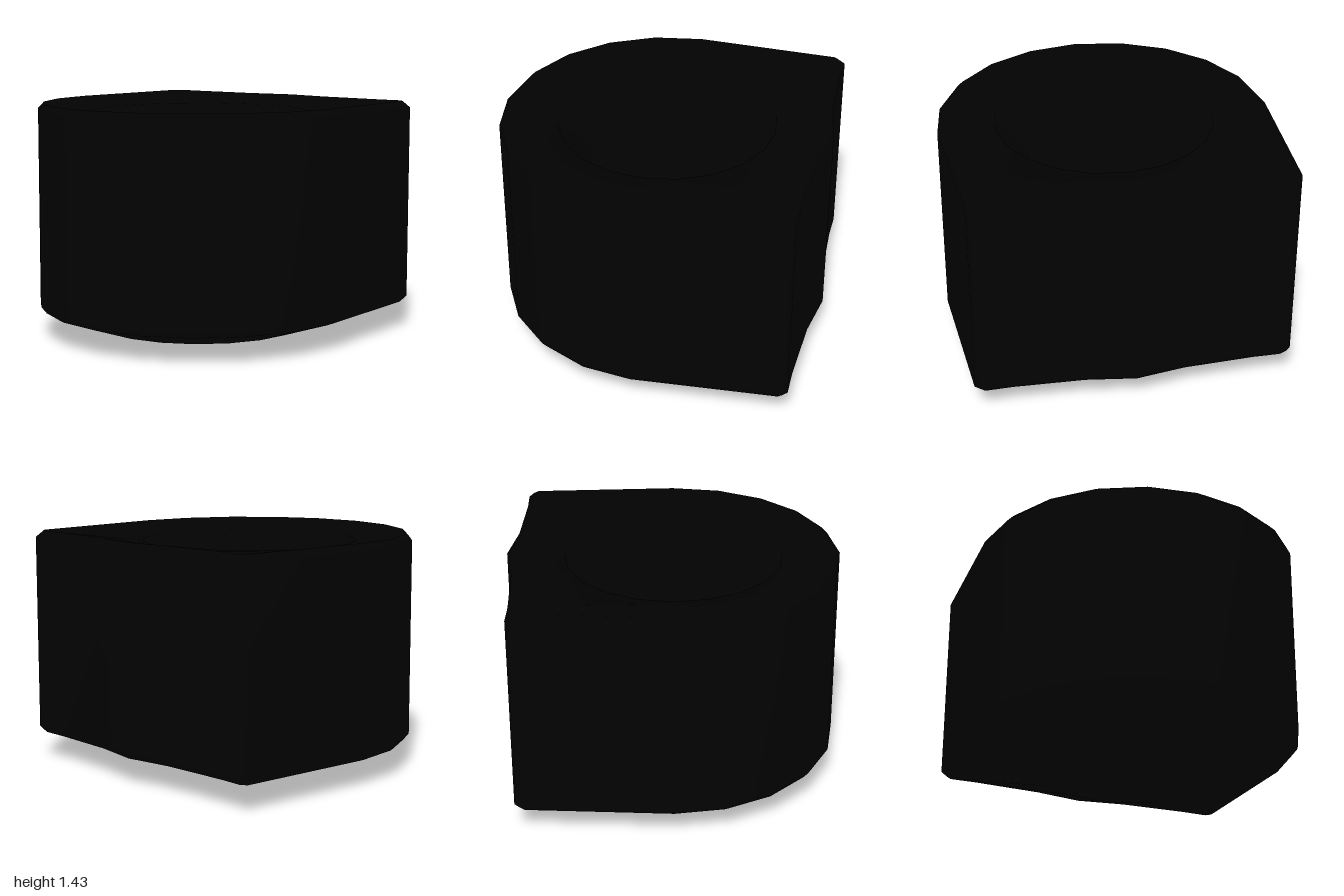
import * as THREE from 'three';

const SIDES = 20;

// Round ring of the given radius
function circle(radius, y) {
  return Array.from({ length: SIDES }, (_, j) => {
    const a = (j / SIDES) * Math.PI * 2;
    return [radius * Math.cos(a), y, radius * Math.sin(a)];
  });
}

// Round ring whose +x side is pulled out into two square corners
function outline(scale, y) {
  const ring = circle(scale, y);
  const corner = [[0.932, 0.75], [0.935, 0.92], [0.905, 0.952]];
  corner.forEach(([x, z], k) => {
    ring[k + 2] = [x * scale, y, z * scale];
    ring[SIDES - 2 - k] = [x * scale, y, -z * scale];
  });
  return ring;
}

// Smooth skin over a stack of rings; the first and last are centre points
function skin(rings) {
  const index = [];
  for (let i = 0; i < rings.length - 1; i++) {
    for (let j = 0; j < SIDES; j++) {
      const k = (j + 1) % SIDES;
      const a = i * SIDES + j, b = i * SIDES + k;
      const c = a + SIDES, d = b + SIDES;
      if (i > 0) index.push(a, c, b);
      if (i < rings.length - 2) index.push(b, c, d);
    }
  }
  const geometry = new THREE.BufferGeometry();
  geometry.setAttribute('position', new THREE.Float32BufferAttribute(rings.flat(2), 3));
  geometry.setIndex(index);
  geometry.computeVertexNormals();
  return geometry;
}

export function createModel() {
  const group = new THREE.Group();
  group.name = 'cupBlock';
  const black = new THREE.MeshStandardMaterial({ color: 0x020202 });
  black.name = 'black';

  const body = new THREE.Mesh(skin([
    // Shallow rounded underside
    circle(0, 0), circle(0.31, 0.003), circle(0.65, 0.055),
    // Bevelled outer wall
    outline(0.968, 0.16), outline(1, 0.2), outline(1, 1.39), outline(0.963, 1.43),
    // Top dipping slightly to the rim, then the deep bowl
    circle(0.655, 1.38), circle(0.6, 0.95), circle(0.5, 0.55), circle(0.33, 0.38), circle(0, 0.36),
  ]), black);
  body.name = 'body';
  group.add(body);
  return group;
}
